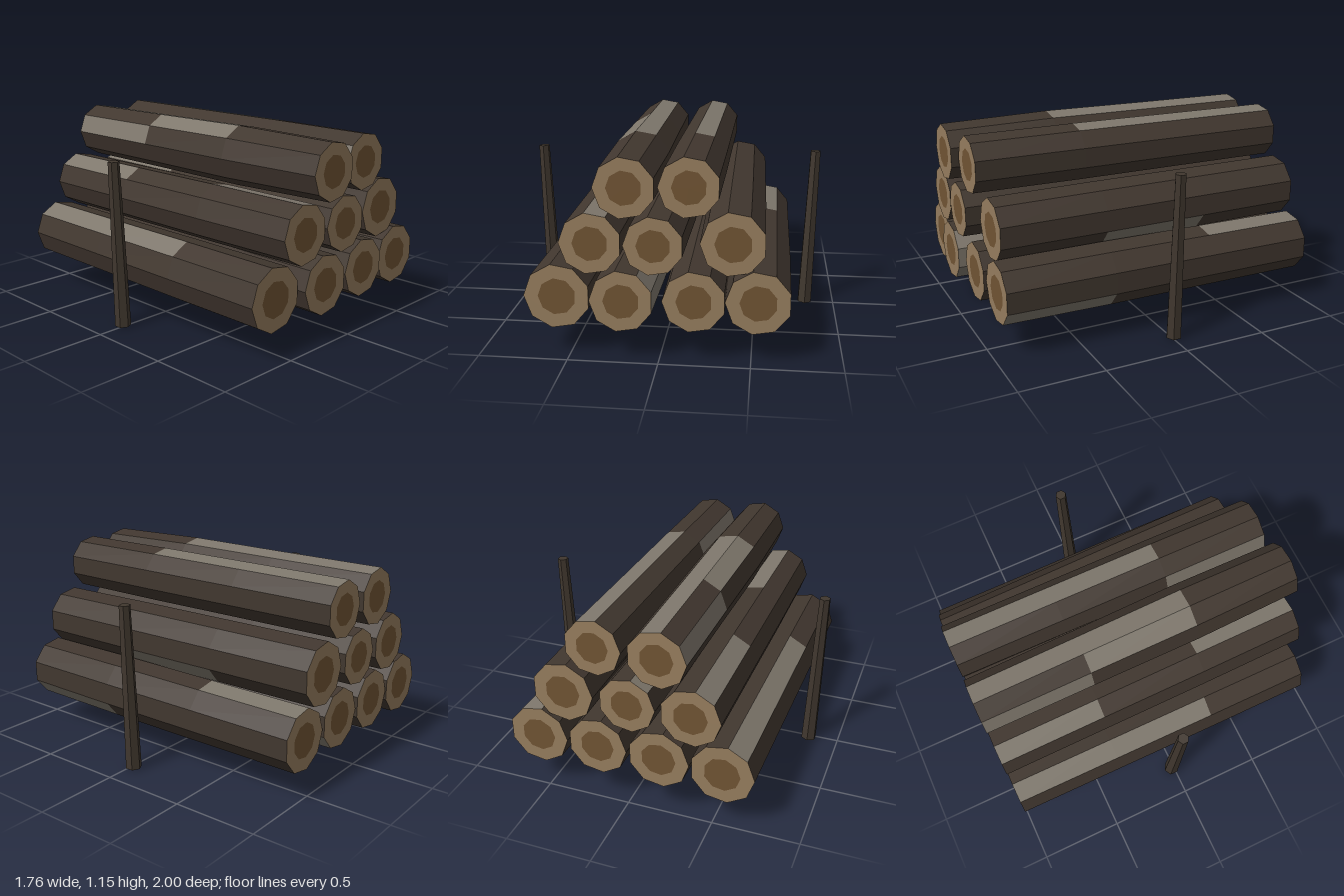
import * as THREE from 'three';

const SIDES = 9;
const STEP = (Math.PI * 2) / SIDES;
const PHASE = Math.PI / 9; // one corner points to -x
const BACK = -1;

const mat = (name, color, side = THREE.FrontSide) => {
  const m = new THREE.MeshStandardMaterial({ color, side });
  m.name = name;
  return m;
};

// front and back: [x, y, radius]; z: front end; bulge: swelling of the first inner ring
// pale: [angle of facet, third of the length counted from the front]
const LOGS = [
  { front: [-0.56, 0.345, 0.185], back: [-0.552, 0.345, 0.183], z: 0.94, bulge: 0.002,
    pale: [[120, 1], [120, 2], [280, 2], [240, 2]] },
  { front: [-0.2, 0.347, 0.175], back: [-0.187, 0.35, 0.178], z: 0.985, bulge: 0.004,
    pale: [[0, 0], [320, 0], [40, 0]] },
  { front: [0.19, 0.347, 0.174], back: [0.178, 0.35, 0.176], z: 0.955, bulge: 0.004,
    pale: [[320, 2]] },
  { front: [0.535, 0.348, 0.18], back: [0.543, 0.343, 0.18], z: 0.94, bulge: 0.004,
    pale: [[80, 2], [320, 0]] },
  { front: [-0.363, 0.662, 0.171], back: [-0.372, 0.66, 0.173], z: 0.97, bulge: 0.003,
    pale: [[120, 2], [80, 0]] },
  { front: [-0.025, 0.66, 0.163], back: [-0.01, 0.66, 0.164], z: 0.975, bulge: 0.004,
    pale: [[120, 2]] },
  { front: [0.395, 0.664, 0.179], back: [0.37, 0.664, 0.181], z: 0.915, bulge: 0.003,
    pale: [[320, 1]] },
  { front: [-0.172, 0.977, 0.166], back: [-0.187, 0.975, 0.168], z: 1, bulge: 0.012,
    pale: [[120, 1], [80, 1], [80, 2], [160, 2]] },
  { front: [0.163, 0.978, 0.165], back: [0.175, 0.978, 0.164], z: 0.96, bulge: 0.003,
    pale: [[80, 1], [80, 2], [160, 0]] },
];

// Faceted bark tube: three lengths of flat facets, each facet with its own material group
function barkGeometry({ front, back, z, bulge, pale }) {
  const corner = (ring, k) => {
    const t = ring / 3;
    const [x, y, r] = front.map((v, i) => THREE.MathUtils.lerp(v, back[i], t));
    const radius = r + (ring === 1 ? bulge : ring === 2 ? bulge * 0.4 : 0);
    const a = PHASE + k * STEP;
    return [x + Math.cos(a) * radius, y + Math.sin(a) * radius, THREE.MathUtils.lerp(z, BACK, t)];
  };
  const pos = [];
  const geo = new THREE.BufferGeometry();
  for (let s = 0; s < 3; s++) {
    for (let k = 0; k < SIDES; k++) {
      const a = corner(s, k), b = corner(s + 1, k), c = corner(s + 1, k + 1), d = corner(s, k + 1);
      const angle = ((k + 1) * 40) % 360;
      const isPale = pale.some(([f, third]) => f === angle && third === s);
      geo.addGroup(pos.length / 3, 6, isPale ? 1 : 0);
      pos.push(...a, ...b, ...c, ...a, ...c, ...d);
    }
  }
  geo.setAttribute('position', new THREE.Float32BufferAttribute(pos, 3));
  geo.computeVertexNormals();
  return geo;
}

export function createModel() {
  const model = new THREE.Group();
  model.name = 'logPile';

  const bark = mat('dark bark', 0x41372f);
  const paleBark = mat('pale bark', 0x7e776c);
  const cutWood = mat('cut wood', 0x967d5e);
  const heartWood = mat('heartwood', 0x705433);
  const stakeWood = mat('stake wood', 0x40372e);

  const add = (parent, name, geometry, material) => {
    const mesh = new THREE.Mesh(geometry, material);
    mesh.name = name;
    parent.add(mesh);
    return mesh;
  };

  // Stacked logs: bark, and a pale ring around a dark heart at both ends
  LOGS.forEach((spec, i) => {
    const log = new THREE.Group();
    log.name = `log${i + 1}`;
    model.add(log);
    add(log, 'bark', barkGeometry(spec), [bark, paleBark]);

    for (const end of ['front', 'back']) {
      const [x, y, r] = spec[end];
      const isFront = end === 'front';
      const start = isFront ? PHASE : 0;
      const heart = r * 0.57;
      const cut = new THREE.Group();
      cut.name = `${end}Cut`;
      cut.position.set(x, y, isFront ? spec.z : BACK);
      cut.rotation.y = isFront ? 0 : Math.PI;
      add(cut, 'cutRing', new THREE.RingGeometry(heart, r, SIDES, 1, start), cutWood);
      add(cut, 'heart', new THREE.CircleGeometry(heart, SIDES, start), heartWood);
      log.add(cut);
    }
  });

  // Tapered hexagonal stakes leaning outwards on both sides
  for (const side of [-1, 1]) {
    const geo = new THREE.CylinderGeometry(0.033, 0.047, 0.984, 6).toNonIndexed();
    geo.computeVertexNormals();
    const stake = add(model, side > 0 ? 'leftStake' : 'rightStake', geo, stakeWood);
    stake.position.set(side * 0.835, 0.493, -0.016);
    stake.rotation.z = -side * 0.032;
  }

  return model;
}
